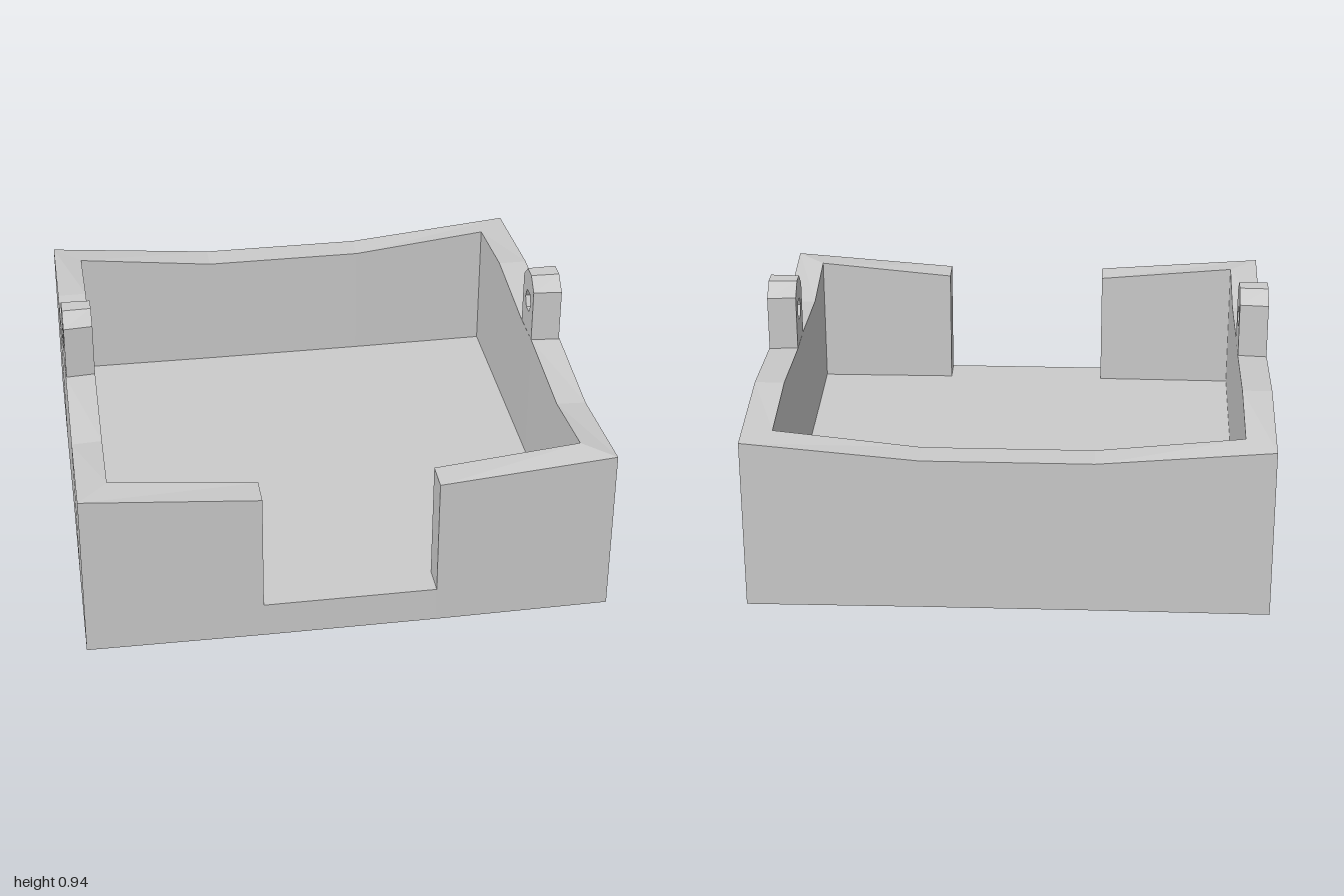
import * as THREE from 'three';

const FLOOR = 0.14;

// Wall stations of the +x half, front opening to back:
// outer x, outer z, outer top, inner x, inner z, inner top
const HALF = [
  [0.33, 0.962, FLOOR, 0.33, 0.845, FLOOR],
  [0.33, 0.962, 0.617, 0.33, 0.845, 0.617],
  [1.0, 0.955, 0.67, 0.885, 0.84, 0.67],
  [0.995, 0.5, 0.625, 0.88, 0.5, 0.63],
  [0.99, 0.09, 0.67, 0.875, 0.09, 0.67],
  [0.988, -0.1, 0.67, 0.874, -0.1, 0.67],
  [0.985, -0.5, 0.705, 0.872, -0.5, 0.705],
  [0.98, -0.965, 0.67, 0.87, -0.85, 0.67],
  [0.32, -0.96, 0.61, 0.32, -0.845, 0.61],
];

function createMaterial() {
  return new THREE.MeshStandardMaterial({ color: 0xcccccc, flatShading: true });
}

// Closed loop of cross-sections: outer face, rim and inner face
function wallGeometry(stations) {
  const sections = stations.map(([ox, oz, oy, ix, iz, iy]) => [
    new THREE.Vector3(ox, 0, oz),
    new THREE.Vector3(ox, oy, oz),
    new THREE.Vector3(ix, iy, iz),
    new THREE.Vector3(ix, FLOOR, iz),
  ]);
  const points = [];
  const addTriangle = (a, b, c) => {
    if (new THREE.Triangle(a, b, c).getArea() > 1e-6) points.push(a, b, c);
  };
  sections.forEach((a, i) => {
    const b = sections[(i + 1) % sections.length];
    for (let k = 0; k < 3; k++) {
      addTriangle(a[k], b[k], b[k + 1]);
      addTriangle(a[k], b[k + 1], a[k + 1]);
    }
  });
  const geometry = new THREE.BufferGeometry().setFromPoints(points);
  geometry.computeVertexNormals();
  return geometry;
}

// Eyelet tab with chamfered top and hexagonal hole, slightly narrower inside
function tabGeometry() {
  const shape = new THREE.Shape([
    [-0.092, 0.67], [0.092, 0.67], [0.092, 0.885],
    [0.034, 0.936], [-0.034, 0.936], [-0.092, 0.885],
  ].map(([x, y]) => new THREE.Vector2(x, y)));
  const hole = [];
  for (let i = 0; i < 6; i++) {
    const a = -i * Math.PI / 3;
    hole.push(new THREE.Vector2(0.047 * Math.cos(a), 0.805 + 0.047 * Math.sin(a)));
  }
  shape.holes.push(new THREE.Path(hole));
  const geometry = new THREE.ExtrudeGeometry(shape, { depth: 0.112, bevelEnabled: false });
  const pos = geometry.attributes.position;
  for (let i = 0; i < pos.count; i++) {
    if (pos.getZ(i) < 0.01) pos.setX(i, pos.getX(i) * 0.9);
  }
  geometry.computeVertexNormals();
  return geometry.rotateY(Math.PI / 2);
}

export function createModel() {
  const group = new THREE.Group();
  const material = createMaterial();
  const add = (name, geometry) => {
    const mesh = new THREE.Mesh(geometry, material);
    mesh.name = name;
    group.add(mesh);
    return mesh;
  };

  const mirrored = HALF.map(([ox, oz, oy, ix, iz, iy]) => [-ox, oz, oy, -ix, iz, iy]).reverse();
  const stations = [...HALF, ...mirrored];

  // Walls with wavy rim and front opening
  add('walls', wallGeometry(stations));

  // Inner floor and underside
  const floor = new THREE.Shape(stations.map((s) => new THREE.Vector2(s[3], -s[4])));
  add('floor', new THREE.ShapeGeometry(floor).rotateX(-Math.PI / 2).translate(0, FLOOR, 0));
  const base = new THREE.Shape(stations.map((s) => new THREE.Vector2(s[0], s[1])));
  add('underside', new THREE.ShapeGeometry(base).rotateX(Math.PI / 2));

  // Eyelet tabs on both side walls
  const left = add('leftTab', tabGeometry());
  left.position.set(0.875, 0, -0.005);
  const right = add('rightTab', tabGeometry());
  right.rotation.y = Math.PI;
  right.position.set(-0.875, 0, -0.005);

  return group;
}
